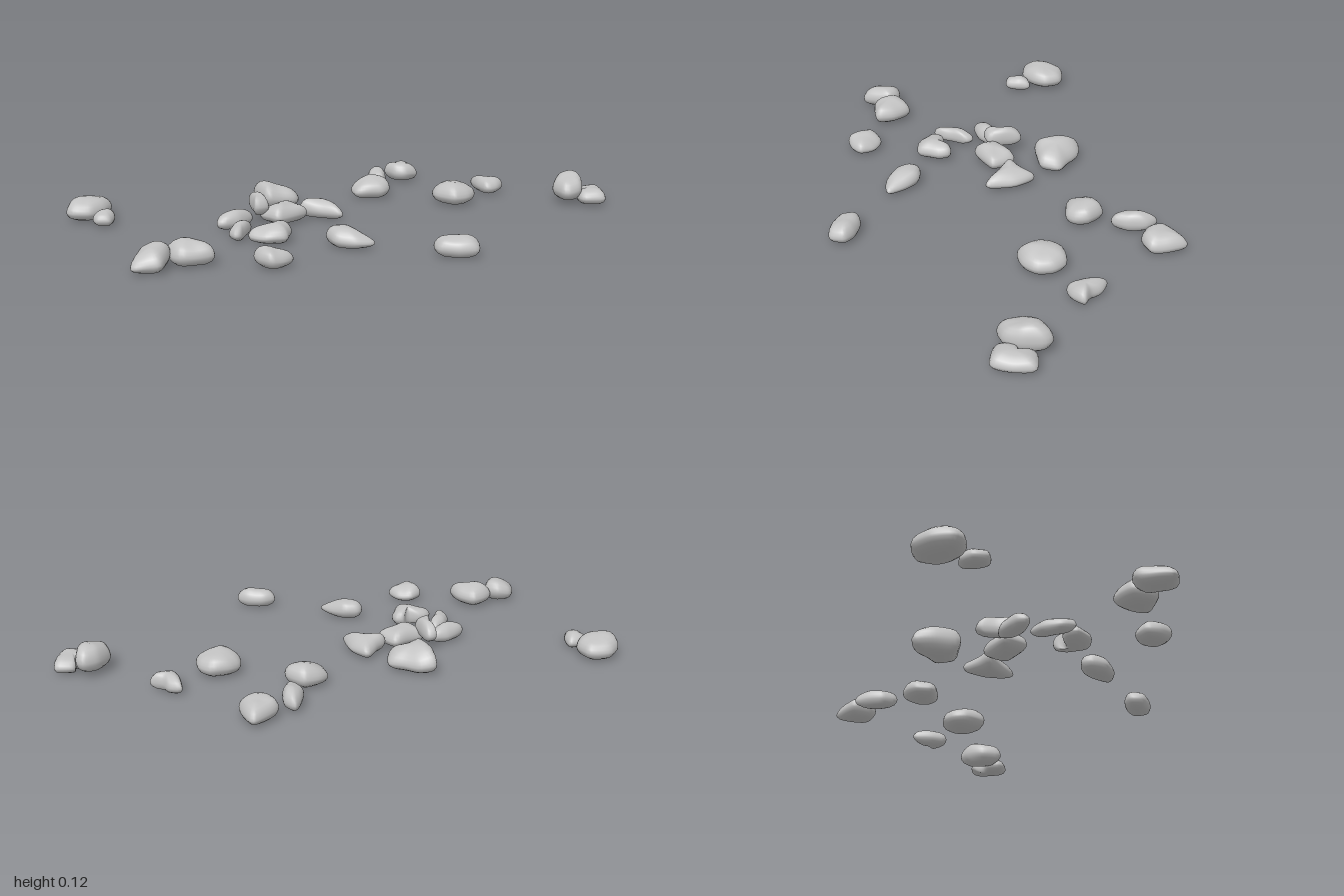
import * as THREE from 'three';
import { mergeVertices } from 'three/addons/utils/BufferGeometryUtils.js';

const SIDES = 40;
// Stone cross-section from underside to crown: [outline scale, height fraction]
const PROFILE = [[0, 0.01], [0.4, 0.01], [0.68, 0.06], [0.88, 0.18], [0.98, 0.33], [1, 0.45],
  [0.96, 0.6], [0.86, 0.75], [0.7, 0.87], [0.48, 0.95], [0.24, 0.99], [0, 1]];

// Lofts a plan outline (x, z pairs) into a rounded, slightly lumpy stone.
// slopeX and slopeZ raise the crown towards +x and +z.
function stoneGeometry(outline, y0, y1, slopeX, slopeZ) {
  const points = [];
  for (let i = 0; i < outline.length; i += 2) points.push(new THREE.Vector3(outline[i], 0, outline[i + 1]));
  const half = new THREE.Box3().setFromPoints(points).getSize(new THREE.Vector3()).multiplyScalar(0.5);
  const mid = points.reduce((sum, p) => sum.add(p), new THREE.Vector3()).divideScalar(points.length);
  const edge = new THREE.CatmullRomCurve3(points, true, 'catmullrom', 0.35).getSpacedPoints(SIDES).slice(0, SIDES);
  const seed = mid.x * 17 + mid.z * 29;

  const positions = [], index = [];
  const last = PROFILE.length - 1;
  PROFILE.forEach(([scale, f], i) => {
    edge.forEach((p, j) => {
      const a = (j / SIDES) * Math.PI * 2;
      const s = scale * (1 + 0.05 * Math.sin(3 * a + seed + 5 * f) * (1 - scale * 0.8));
      const dx = (p.x - mid.x) * s, dz = (p.z - mid.z) * s;
      const u = dx / half.x, v = dz / half.z;
      const lump = 0.07 * Math.sin(3.1 * u + seed) * Math.cos(2.7 * v + seed * 1.7);
      const lift = 1 + slopeX * u + slopeZ * v + lump;
      positions.push(mid.x + dx, y0 + (y1 - y0) * f * lift, mid.z + dz);

      if (i === last) return;
      const k = (j + 1) % SIDES, low = i * SIDES, high = low + SIDES;
      if (i < last - 1) index.push(low + j, high + j, high + k);
      if (i > 0) index.push(low + j, high + k, low + k);
    });
  });
  const geometry = new THREE.BufferGeometry();
  geometry.setAttribute('position', new THREE.Float32BufferAttribute(positions, 3));
  geometry.setIndex(index);
  const merged = mergeVertices(geometry, 1e-5);
  merged.computeVertexNormals();
  return merged;
}

export function createModel() {
  const group = new THREE.Group();
  group.name = 'scatteredStones';
  const grey = new THREE.MeshStandardMaterial({ color: 0xc2c2c2 });
  grey.name = 'stoneGrey';

  const stone = (name, y0, y1, outline, slopeX = 0, slopeZ = 0) => {
    const mesh = new THREE.Mesh(stoneGeometry(outline, y0, y1, slopeX, slopeZ), grey);
    mesh.name = name;
    group.add(mesh);
  };

  // Back right corner pair
  stone('largeBackStone', 0, 0.085, [-0.82, -0.65, -0.77, -0.71, -0.70, -0.735, -0.65, -0.71, -0.625, -0.68,
    -0.64, -0.615, -0.69, -0.58, -0.76, -0.57, -0.815, -0.61]);
  stone('smallBackPebble', 0, 0.055, [-0.78, -0.50, -0.765, -0.55, -0.72, -0.57, -0.675, -0.55, -0.695, -0.505, -0.74, -0.47]);

  // Central cluster
  stone('jaggedStone', 0, 0.095, [-0.15, -0.30, -0.13, -0.36, -0.09, -0.415, -0.04, -0.385, -0.015, -0.32,
    0.01, -0.26, -0.04, -0.205, -0.10, -0.225, -0.155, -0.25], -0.3);
  stone('leaningShard', 0.035, 0.113, [-0.325, -0.11, -0.29, -0.175, -0.26, -0.235, -0.225, -0.225, -0.235, -0.175, -0.27, -0.10], -0.1);
  stone('flatShard', 0, 0.065, [-0.47, -0.16, -0.44, -0.19, -0.355, -0.20, -0.30, -0.175, -0.32, -0.14, -0.39, -0.12, -0.45, -0.135]);
  stone('blockStone', 0.005, 0.078, [-0.28, -0.14, -0.20, -0.145, -0.135, -0.14, -0.125, -0.085, -0.135, -0.035,
    -0.205, -0.03, -0.275, -0.035, -0.285, -0.085]);
  stone('wedgeStone', 0, 0.07, [-0.115, -0.10, -0.065, -0.115, 0.013, -0.145, 0.018, -0.05, -0.03, 0.055, -0.077, -0.02], -0.2, -0.1);
  stone('curvedShard', 0, 0.055, [-0.52, 0.015, -0.505, -0.04, -0.445, -0.085, -0.388, -0.095, -0.385, -0.06, -0.44, -0.02, -0.495, 0.02]);
  stone('notchedStone', 0, 0.068, [-0.485, 0.05, -0.45, 0.02, -0.41, 0.03, -0.375, 0.065, -0.335, 0.04, -0.31, 0.06,
    -0.325, 0.10, -0.36, 0.13, -0.40, 0.16, -0.46, 0.12], 0.1);

  // Right side
  stone('outerRightStone', 0, 0.078, [-1, 0.075, -0.96, 0.027, -0.905, -0.01, -0.85, 0.015, -0.835, 0.07,
    -0.90, 0.13, -0.935, 0.145, -0.99, 0.10], 0.35);
  stone('innerRightStone', 0, 0.085, [-0.85, 0.095, -0.83, 0.035, -0.775, 0.02, -0.72, 0.03, -0.705, 0.11,
    -0.73, 0.18, -0.795, 0.16, -0.84, 0.135]);
  stone('squareStone', 0, 0.065, [-0.64, 0.305, -0.62, 0.25, -0.56, 0.245, -0.525, 0.295, -0.53, 0.355, -0.58, 0.37, -0.63, 0.36], -0.2);

  // Front
  stone('innerFrontStone', 0, 0.07, [-0.30, 0.30, -0.285, 0.245, -0.25, 0.225, -0.20, 0.26, -0.185, 0.325,
    -0.19, 0.40, -0.255, 0.375, -0.29, 0.33], 0, -0.3);
  stone('outerFrontStone', 0, 0.075, [-0.105, 0.63, -0.08, 0.58, -0.03, 0.59, 0.02, 0.64, 0.035, 0.69, -0.01, 0.727, -0.065, 0.695]);

  // Back left
  stone('roundStone', 0, 0.08, [0.235, -0.16, 0.26, -0.215, 0.31, -0.23, 0.375, -0.215, 0.393, -0.14,
    0.365, -0.095, 0.32, -0.085, 0.255, -0.13], 0.2);
  stone('longStone', 0, 0.075, [0.42, -0.23, 0.425, -0.285, 0.475, -0.335, 0.52, -0.36, 0.527, -0.305, 0.49, -0.245, 0.44, -0.21]);
  stone('cornerStone', 0, 0.078, [0.565, -0.27, 0.575, -0.34, 0.635, -0.36, 0.70, -0.36, 0.69, -0.285, 0.66, -0.225, 0.595, -0.23], -0.15);

  // Left side
  stone('largeLeftStone', 0, 0.085, [0.425, 0.11, 0.457, 0.06, 0.51, 0.05, 0.575, 0.08, 0.59, 0.14, 0.56, 0.20, 0.50, 0.22, 0.435, 0.20]);
  stone('pointedStone', 0, 0.065, [0.685, 0.145, 0.70, 0.085, 0.735, 0.02, 0.765, 0.06, 0.765, 0.105, 0.79, 0.15, 0.74, 0.17, 0.70, 0.165]);
  stone('proppedStone', 0.015, 0.117, [0.78, 0.475, 0.805, 0.405, 0.875, 0.365, 0.935, 0.37, 0.945, 0.41,
    0.905, 0.475, 0.85, 0.51, 0.795, 0.50], 0.15);
  stone('outerLeftStone', 0, 0.065, [0.84, 0.52, 0.87, 0.475, 0.91, 0.475, 0.94, 0.435, 1, 0.475, 0.965, 0.54, 0.905, 0.59, 0.85, 0.55]);

  return group;
}
